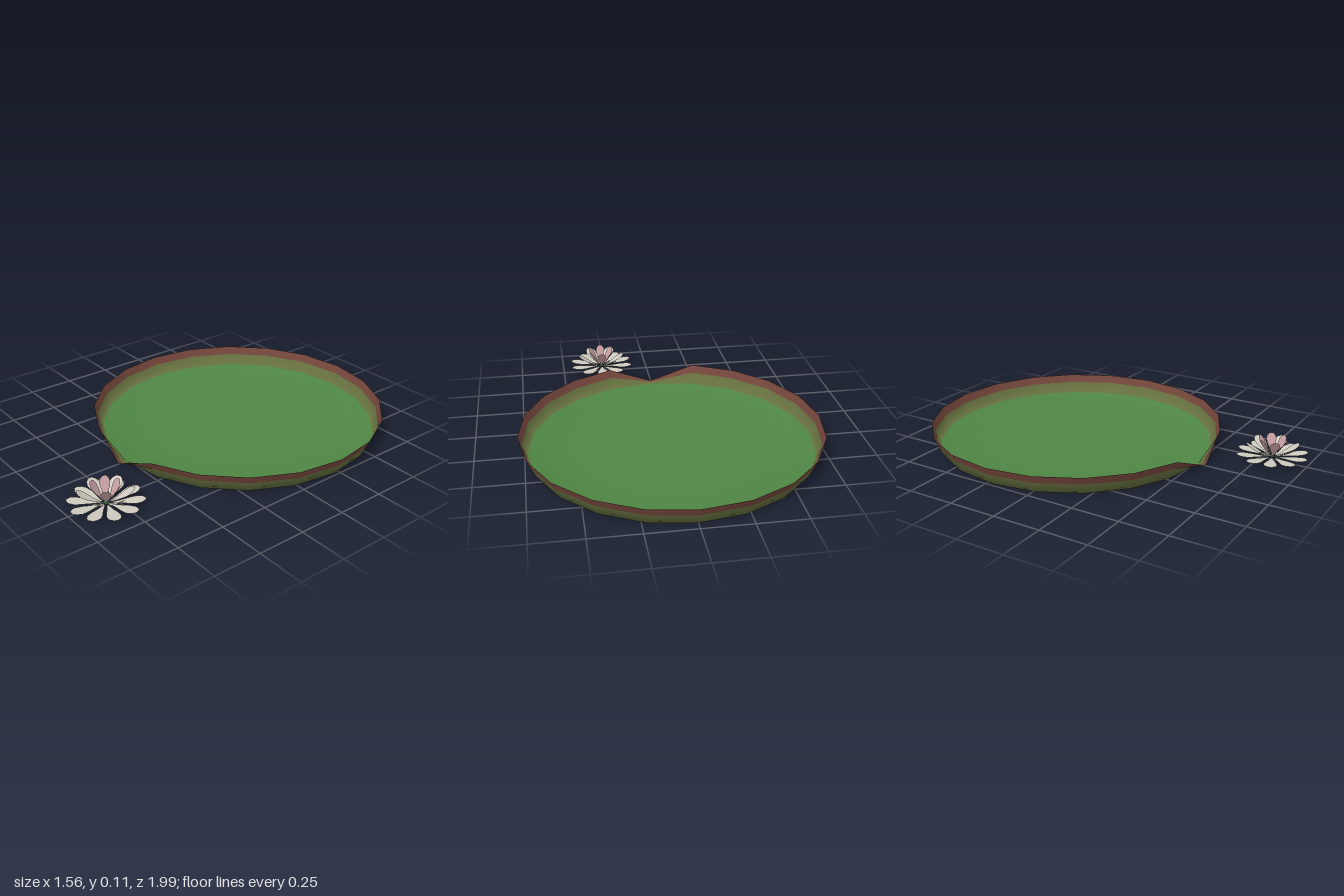
import * as THREE from 'three';

const mat = (name, color) => {
  const m = new THREE.MeshStandardMaterial({ color, side: THREE.DoubleSide });
  m.name = name;
  return m;
};

// Shallow round pad: concentric rings, the front corner of the rim pressed flat as a notch
function padGeometry() {
  const SIDES = 20;
  const rings = [[0.5, 0], [0.735, 0], [0.762, 0.058], [0.78, 0.1]];
  const pos = [0, 0, 0], index = [];
  for (const [r, y] of rings) {
    for (let i = 0; i < SIDES; i++) {
      const a = (i / SIDES) * Math.PI * 2;
      pos.push(Math.sin(a) * r, i === 0 ? 0 : y, Math.cos(a) * r);
    }
  }
  const at = (ring, i) => 1 + ring * SIDES + (i % SIDES);
  for (let i = 0; i < SIDES; i++) index.push(0, at(0, i), at(0, i + 1));
  for (let k = 0; k < rings.length - 1; k++) {
    for (let i = 0; i < SIDES; i++) {
      const a = at(k, i), b = at(k, i + 1), c = at(k + 1, i), d = at(k + 1, i + 1);
      // mirror the diagonal next to the notch
      if (i < SIDES / 2) index.push(a, c, d, a, d, b);
      else index.push(a, c, b, b, c, d);
    }
  }
  const g = new THREE.BufferGeometry();
  g.setAttribute('position', new THREE.Float32BufferAttribute(pos, 3));
  g.setIndex(index);
  g.computeVertexNormals();
  // floor, lower wall, rim
  g.addGroup(0, SIDES * 9, 0);
  g.addGroup(SIDES * 9, SIDES * 6, 1);
  g.addGroup(SIDES * 15, SIDES * 6, 2);
  return g;
}

// Thin petal pointing along +z, narrow at the base and rounded at the tip
function petalGeometry({ r0, r1, y0, y1, width, bend }) {
  const stations = [[0, 0.12], [0.3, 0.45], [0.55, 0.85], [0.75, 1], [0.9, 0.8], [1, 0.3]];
  const pos = [], index = [];
  stations.forEach(([t, w], i) => {
    const z = r0 + (r1 - r0) * t;
    const y = y0 + (y1 - y0) * Math.pow(t, bend);
    pos.push(-w * width, y, z, w * width, y, z);
    if (i > 0) {
      const a = (i - 1) * 2;
      index.push(a, a + 2, a + 1, a + 1, a + 2, a + 3);
    }
  });
  const g = new THREE.BufferGeometry();
  g.setAttribute('position', new THREE.Float32BufferAttribute(pos, 3));
  g.setIndex(index);
  g.computeVertexNormals();
  return g;
}

export function createModel() {
  const green = mat('leaf green', 0x4f8644);
  const olive = mat('olive wall', 0x66703f);
  const brown = mat('red brown rim', 0x74463b);
  const white = mat('petal white', 0xcfcbc0);
  const pink = mat('petal pink', 0xc39da1);

  const model = new THREE.Group();
  model.name = 'waterLily';

  const pad = new THREE.Mesh(padGeometry(), [green, olive, brown]);
  pad.name = 'lilyPad';
  pad.position.z = -0.22;
  model.add(pad);

  const flower = new THREE.Group();
  flower.name = 'flower';
  flower.position.set(0.27, 0, 0.807);
  model.add(flower);

  // Three whorls of petals, steeper toward the middle
  const whorls = [
    { name: 'outerPetal', count: 10, turn: 0, m: white, r0: 0.025, r1: 0.185, y0: 0.01, y1: 0.027, width: 0.034, bend: 1 },
    { name: 'middlePetal', count: 6, turn: 0.5, m: white, r0: 0.02, r1: 0.135, y0: 0.014, y1: 0.08, width: 0.033, bend: 1.2 },
    { name: 'innerPetal', count: 6, turn: 0, m: pink, r0: 0.015, r1: 0.075, y0: 0.018, y1: 0.112, width: 0.026, bend: 1.1 },
  ];
  for (const w of whorls) {
    const geo = petalGeometry(w);
    for (let i = 0; i < w.count; i++) {
      const petal = new THREE.Mesh(geo, w.m);
      petal.name = w.name;
      petal.rotation.y = ((i + w.turn) / w.count) * Math.PI * 2;
      flower.add(petal);
    }
  }

  // Small green heart of the flower
  const heart = new THREE.Mesh(new THREE.ConeGeometry(0.014, 0.02, 8), green);
  heart.name = 'flowerHeart';
  heart.position.y = 0.02;
  flower.add(heart);

  return model;
}
